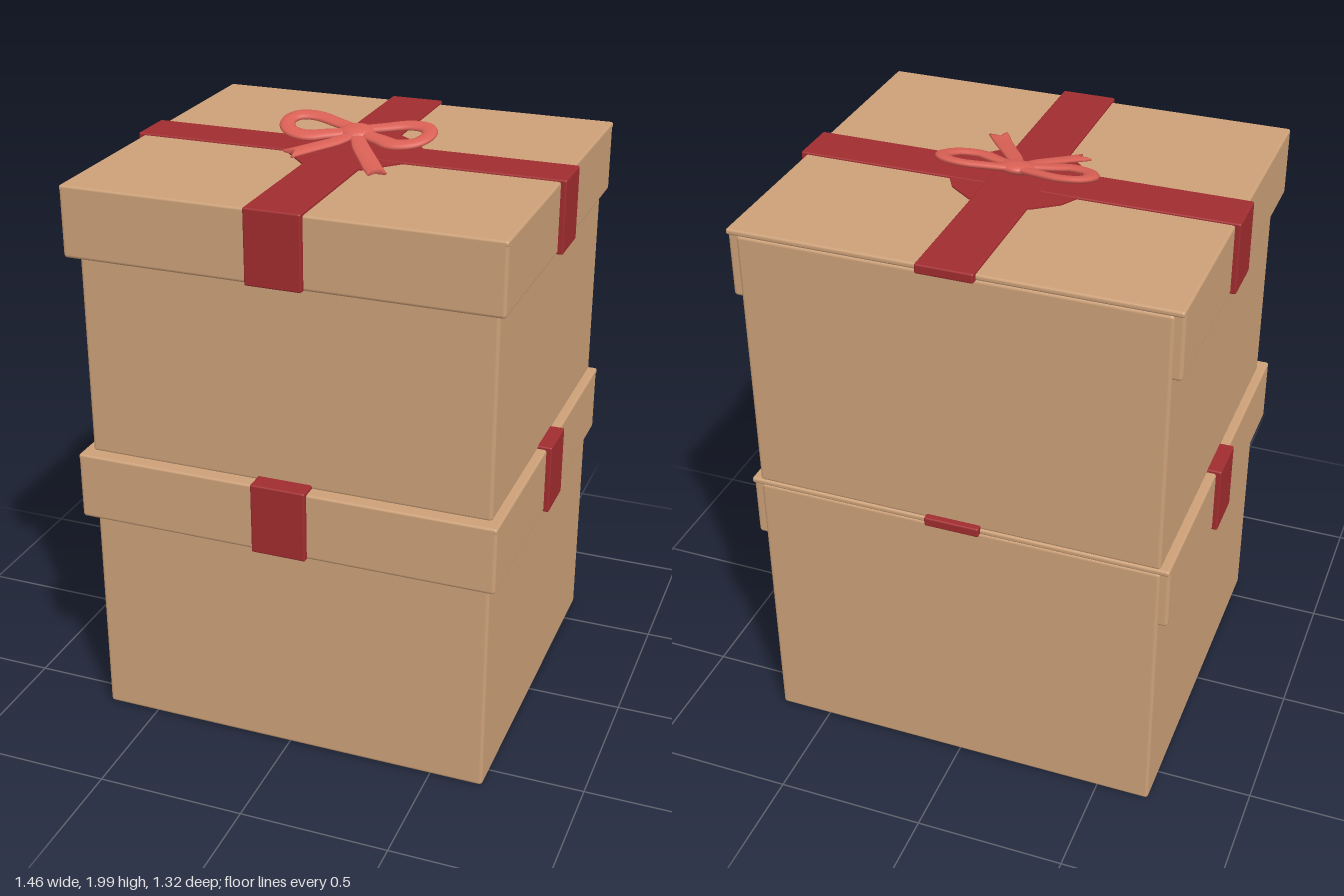
import * as THREE from 'three';
import { RoundedBoxGeometry } from 'three/addons/geometries/RoundedBoxGeometry.js';

const card = new THREE.MeshStandardMaterial({ color: 0xcca078 });
const red = new THREE.MeshStandardMaterial({ color: 0xa02c2f });
const coral = new THREE.MeshStandardMaterial({ color: 0xd96055, side: THREE.DoubleSide });

// Rounded block given by its minimum and maximum corners
function block(name, min, max, material, radius) {
  const size = max.map((v, i) => v - min[i]);
  const mesh = new THREE.Mesh(new RoundedBoxGeometry(...size, 3, radius), material);
  mesh.position.set(...max.map((v, i) => (v + min[i]) / 2));
  mesh.name = name;
  return mesh;
}

// Height of the bow: it lies flat at the tails and lifts towards the back and sides
function bowHeight(x, z) {
  const t = THREE.MathUtils.clamp((0.2 - z) / 0.34, 0, 1);
  return 1.919 + 0.055 * Math.pow(t, 1.2) + 0.05 * Math.abs(x) * t;
}

// Flat ribbon with an oval section swept along [x, z] points; notch cuts a V in its end
function bowStrip(name, points, halfWidths, thickness, notch = 0) {
  const curve = new THREE.CatmullRomCurve3(points.map(([x, z]) => new THREE.Vector3(x, 0, z)));
  const rings = 40, sides = 12, pos = [], index = [];
  for (let i = 0; i <= rings; i++) {
    const t = i / rings;
    const p = curve.getPoint(t), d = curve.getTangent(t);
    const k = t * (halfWidths.length - 1), n = Math.min(Math.floor(k), halfWidths.length - 2);
    const w = THREE.MathUtils.lerp(halfWidths[n], halfWidths[n + 1], k - n);
    const fade = Math.max(0, (t - 0.7) / 0.3);
    for (let j = 0; j < sides; j++) {
      const a = (j / sides) * Math.PI * 2, u = Math.cos(a);
      const back = notch * fade * (1 - Math.abs(u));
      const x = p.x - d.z * u * w - d.x * back;
      const z = p.z + d.x * u * w - d.z * back;
      pos.push(x, bowHeight(x, z) + Math.sin(a) * thickness, z);
      if (i < rings) {
        const q = i * sides + j, r = i * sides + (j + 1) % sides;
        index.push(q, q + sides, r, r, q + sides, r + sides);
      }
    }
  }
  // End cap joins the upper and lower edges
  const e = rings * sides;
  for (let j = 0; j < sides / 2; j++) {
    const a = e + j, b = e + j + 1, c = e + (sides - j) % sides, d = e + sides - j - 1;
    index.push(a, c, b, b, c, d);
  }
  const geometry = new THREE.BufferGeometry();
  geometry.setAttribute('position', new THREE.Float32BufferAttribute(pos, 3));
  geometry.setIndex(index);
  geometry.computeVertexNormals();
  const mesh = new THREE.Mesh(geometry, coral);
  mesh.name = name;
  return mesh;
}

// One carton: body, overhanging lid and crossed ribbons folded over its edges
function carton(name, bottom, lidBottom, lidTop, ribbonTop) {
  const g = new THREE.Group();
  g.name = name;
  g.add(
    block('body', [-0.68, bottom, -0.635], [0.68, lidTop - 0.02, 0.592], card, 0.012),
    block('lid', [-0.71, lidBottom, -0.628], [0.71, lidTop, 0.64], card, 0.012),
    block('lidTop', [-0.71, lidTop - 0.02, -0.64], [0.71, lidTop, 0.64], card, 0.008),
    block('ribbonAcross', [-0.728, ribbonTop - 0.025, -0.095], [0.728, ribbonTop, 0.07], red, 0.006),
    block('ribbonLengthwise', [-0.092, ribbonTop - 0.03, -0.658], [0.092, ribbonTop + 0.002, 0.658], red, 0.006),
    block('ribbonFront', [-0.092, lidBottom, 0.62], [0.092, ribbonTop, 0.658], red, 0.006)
  );
  for (const s of [-1, 1]) {
    const x = [s * 0.69, s * 0.728].sort((a, b) => a - b);
    g.add(block(s > 0 ? 'ribbonLeft' : 'ribbonRight',
      [x[0], lidBottom, -0.095], [x[1], ribbonTop, 0.07], red, 0.006));
  }
  return g;
}

function bow() {
  const g = new THREE.Group();
  g.name = 'bow';

  // Flat patch under the bow
  const patch = new THREE.Shape([
    [-0.1, -0.21], [0.1, -0.21], [0.18, -0.15], [0.23, -0.06], [0.2, 0.07],
    [0.1, 0.18], [-0.1, 0.18], [-0.2, 0.07], [-0.23, -0.06], [-0.18, -0.15],
  ].map(([x, z]) => new THREE.Vector2(x, -z)));
  const patchMesh = new THREE.Mesh(
    new THREE.ExtrudeGeometry(patch, { depth: 0.012, bevelEnabled: false }), red);
  patchMesh.rotation.x = -Math.PI / 2;
  patchMesh.position.y = 1.898;
  patchMesh.name = 'bowPatch';
  g.add(patchMesh);

  // Mirrored loops
  const loop = [[0.02, -0.07], [0.08, -0.09], [0.16, -0.115], [0.22, -0.103], [0.242, -0.06],
    [0.215, -0.003], [0.15, 0.018], [0.09, -0.008], [0.02, -0.04]];
  for (const s of [-1, 1]) {
    g.add(bowStrip(s > 0 ? 'loopLeft' : 'loopRight', loop.map(([x, z]) => [s * x, z]),
      [0.022, 0.025, 0.026, 0.026, 0.03, 0.022], 0.011));
  }

  // Tails with notched ends
  g.add(
    bowStrip('tailLeft', [[0, -0.04], [0.05, 0.05], [0.11, 0.14], [0.175, 0.24]],
      [0.02, 0.028, 0.03, 0.032], 0.008, 0.035),
    bowStrip('tailRight', [[0, -0.04], [-0.04, 0.03], [-0.1, 0.095], [-0.16, 0.16]],
      [0.02, 0.026, 0.028, 0.031], 0.008, 0.03)
  );

  // Knot
  const knot = new THREE.Mesh(new THREE.SphereGeometry(1, 24, 16), coral);
  knot.scale.set(0.06, 0.02, 0.05);
  knot.position.set(0, 1.957, -0.05);
  knot.rotation.x = 0.18;
  knot.name = 'knot';
  g.add(knot);
  return g;
}

export function createModel() {
  const model = new THREE.Group();
  model.name = 'stackedGiftBoxes';
  model.add(
    carton('lowerBox', 0, 0.76, 0.99, 1.0),
    carton('upperBox', 0.985, 1.67, 1.905, 1.912),
    bow()
  );
  return model;
}
